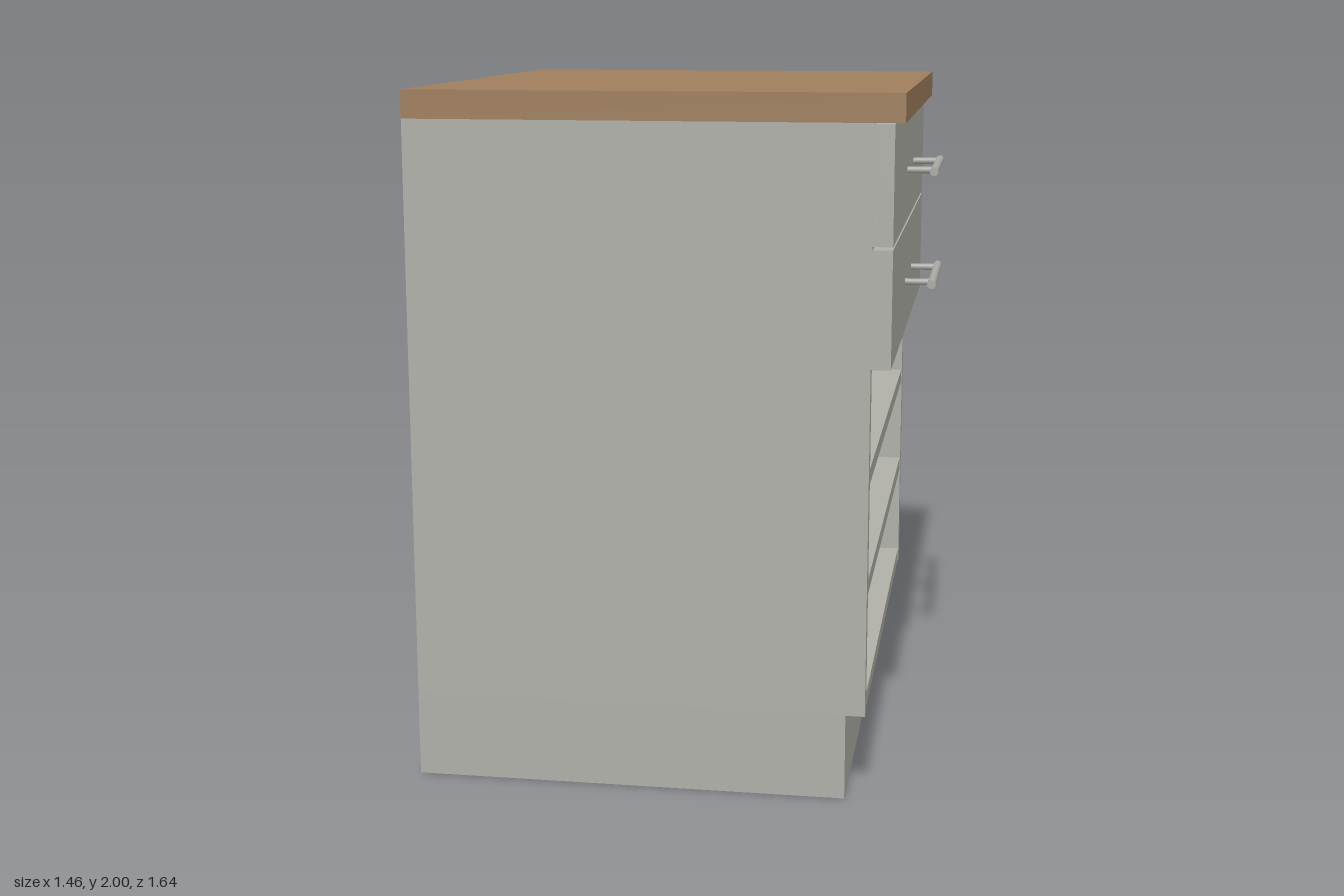
import * as THREE from 'three';

export function createModel() {
  const model = new THREE.Group();
  model.name = 'drawerCabinet';

  const mat = (name, color) => {
    const m = new THREE.MeshStandardMaterial({ color });
    m.name = name;
    return m;
  };
  const paint = mat('greyPaint', 0xb0b0a9);
  const wood = mat('brownWood', 0x9f7f5e);
  const metal = mat('handleMetal', 0xacaca6);

  // Box given by its limits on each axis
  const board = (name, material, [x0, x1], [y0, y1], [z0, z1]) => {
    const mesh = new THREE.Mesh(new THREE.BoxGeometry(x1 - x0, y1 - y0, z1 - z0), material);
    mesh.position.set((x0 + x1) / 2, (y0 + y1) / 2, (z0 + z1) / 2);
    mesh.name = name;
    model.add(mesh);
  };

  const back = -0.73, front = 0.58, half = 0.82, inner = 0.775;

  board('worktop', wood, [back, 0.663], [1.92, 2], [-half, half]);

  // Carcass: two sides, inset back panel and the horizontal boards
  board('leftSide', paint, [back, front], [0.25, 1.92], [-half, -inner]);
  board('rightSide', paint, [back, front], [0.25, 1.92], [inner, half]);
  board('backPanel', paint, [back + 0.012, back + 0.035], [0.25, 1.92], [-inner, inner]);
  [['bottomBoard', 0.25], ['lowerShelf', 0.588], ['upperShelf', 0.91], ['drawerFloor', 1.25]].forEach(([name, y]) =>
    board(name, paint, [back + 0.035, front - 0.002], [y, y + 0.045], [-inner, inner]));

  // Plinth: a hollow frame, set back below the open front
  const t = 0.035, toe = 0.525;
  board('plinthFront', paint, [toe - t, toe], [0, 0.25], [-half, half]);
  board('plinthBack', paint, [back, back + t], [0, 0.25], [-half, half]);
  board('plinthLeft', paint, [back + t, toe - t], [0, 0.25], [-half, -half + t]);
  board('plinthRight', paint, [back + t, toe - t], [0, 0.25], [half - t, half]);

  // Drawer fronts with bar handles
  [['lowerDrawer', 1.25, 1.405], ['upperDrawer', 1.588, 1.743]].forEach(([name, y, handleY]) => {
    board(name + 'Front', paint, [front, 0.635], [y, y + 0.329], [-half, half]);

    const handle = new THREE.Group();
    handle.name = name + 'Handle';
    handle.position.y = handleY;
    const bar = new THREE.Mesh(new THREE.CylinderGeometry(0.013, 0.013, 0.466, 16), metal);
    bar.name = 'handleBar';
    bar.rotation.x = Math.PI / 2;
    bar.position.x = 0.717;
    handle.add(bar);
    for (const z of [-0.174, 0.174]) {
      const post = new THREE.Mesh(new THREE.CylinderGeometry(0.01, 0.01, 0.084, 12), metal);
      post.name = 'handlePost';
      post.rotation.z = Math.PI / 2;
      post.position.set(0.675, 0, z);
      handle.add(post);
    }
    model.add(handle);
  });

  return model;
}
